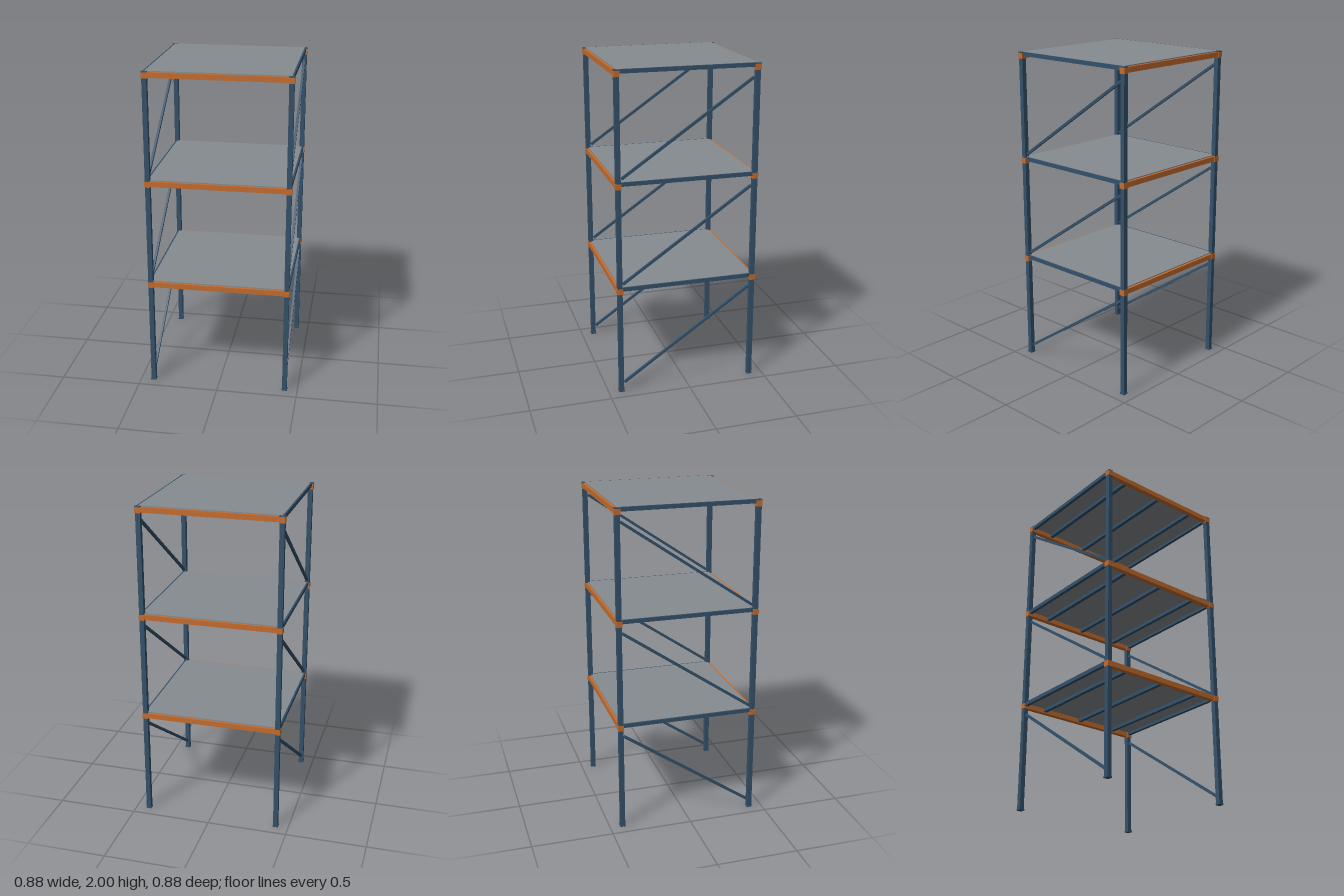
import * as THREE from 'three';

export function createModel() {
  const steel = new THREE.MeshStandardMaterial({ name: 'blue steel', color: 0x34516a });
  const orange = new THREE.MeshStandardMaterial({ name: 'orange beam', color: 0xc46c2e });
  const grey = new THREE.MeshStandardMaterial({ name: 'grey deck', color: 0x868c90 });

  const rack = new THREE.Group();
  rack.name = 'shelvingRack';

  function box(name, material, size, position, parent = rack) {
    const mesh = new THREE.Mesh(new THREE.BoxGeometry(...size), material);
    mesh.name = name;
    mesh.position.set(...position);
    parent.add(mesh);
    return mesh;
  }

  const corner = 0.42;                  // post centre in x and z
  const levels = [0.693, 1.347, 2.0];   // top of each deck
  const sides = [-1, 1];

  // Corner posts with foot plates and caps
  for (const sx of sides) {
    for (const sz of sides) {
      const x = sx * corner, z = sz * corner;
      box('post', steel, [0.029, 1.99, 0.029], [x, 0.995, z]);
      box('footPlate', steel, [0.034, 0.008, 0.034], [x, 0.004, z]);
      box('postCap', steel, [0.034, 0.006, 0.034], [x, 1.995, z]);
    }
  }

  levels.forEach((top, i) => {
    const shelf = new THREE.Group();
    shelf.name = 'shelfLevel' + (i + 1);
    rack.add(shelf);

    // Deck panel
    box('deck', grey, [0.84, 0.008, 0.838], [0, top - 0.004, 0], shelf);

    // Front and back beams with a connector block round each post
    for (const sz of sides) {
      box('beam', orange, [0.81, 0.032, 0.029], [0, top - 0.022, sz * corner], shelf);
      for (const sx of sides) {
        box('connector', orange, [0.035, 0.035, 0.035], [sx * corner, top - 0.0245, sz * corner], shelf);
      }
    }

    // Side rails and diagonal braces, low at the front and high at the back
    for (const sx of sides) {
      box('sideRail', steel, [0.02, 0.024, 0.81], [sx * corner, top - 0.013, 0], shelf);
      const rise = 0.55, run = 0.8;
      const brace = box('brace', steel, [0.014, 0.016, Math.hypot(rise, run)],
        [sx * corner, top - 0.36, 0], shelf);
      brace.rotation.x = Math.atan2(rise, run);
    }

    // Joists under the deck
    for (const x of [-0.275, 0, 0.275]) {
      box('joist', steel, [0.022, 0.022, 0.81], [x, top - 0.019, 0], shelf);
    }
  });

  return rack;
}
